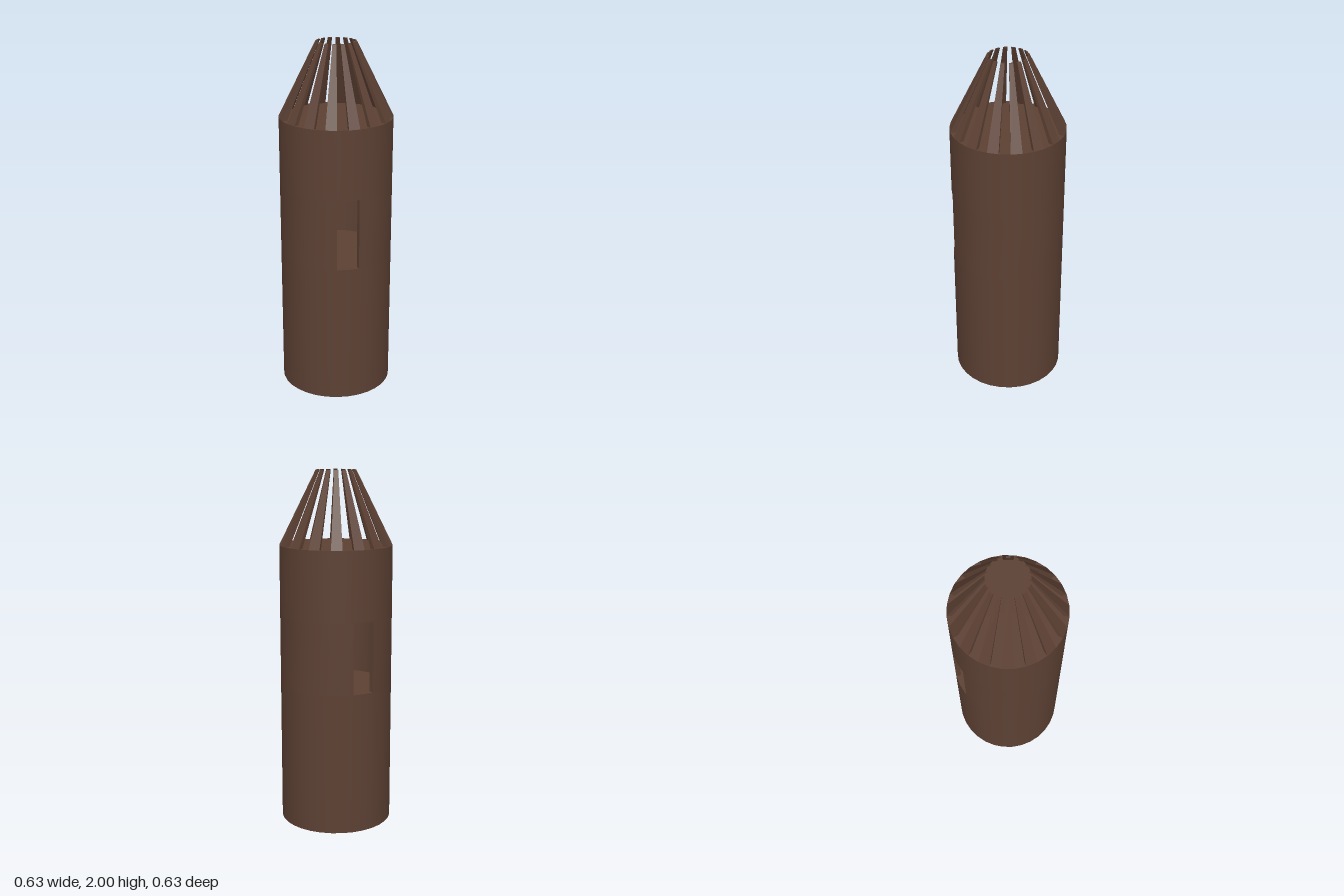
import * as THREE from 'three';
import { toCreasedNormals } from 'three/addons/utils/BufferGeometryUtils.js';

const SEGS = 32, STEP = (Math.PI * 2) / SEGS;
const R = 0.316, TOP_R = 0.112, WALL = 0.91; // inner radius = outer radius * WALL
const Y = { floor: 0.8, ceiling: 1.2, shoulder: 1.59, tip: 2 };

// Closed arc of wall: a four-cornered section swept over a run of segments
function arcWall(rBottom, rTop, y0, y1, start, count) {
  const section = [[rBottom, y0], [rTop, y1], [rTop * WALL, y1], [rBottom * WALL, y0]];
  const pos = [];
  const point = (s, i) => {
    const a = s * STEP, [r, y] = section[i % 4];
    return [r * Math.sin(a), y, r * Math.cos(a)];
  };
  const quad = (a, b, c, d) => pos.push(...a, ...b, ...c, ...a, ...c, ...d);
  for (let s = start; s < start + count; s++) {
    for (let i = 0; i < 4; i++) quad(point(s, i), point(s + 1, i), point(s + 1, i + 1), point(s, i + 1));
  }
  // End faces
  const e = start + count;
  quad(point(start, 0), point(start, 1), point(start, 2), point(start, 3));
  quad(point(e, 3), point(e, 2), point(e, 1), point(e, 0));
  const g = new THREE.BufferGeometry();
  g.setAttribute('position', new THREE.Float32BufferAttribute(pos, 3));
  return toCreasedNormals(g, 0.4);
}

export function createModel() {
  const model = new THREE.Group();
  model.name = 'slottedCapsule';
  const brown = new THREE.MeshStandardMaterial({ color: 0x5c4033 });
  brown.name = 'brown';

  const add = (name, geometry, y = 0, parent = model) => {
    const mesh = new THREE.Mesh(geometry, brown);
    mesh.name = name;
    mesh.position.y = y;
    parent.add(mesh);
  };
  const drum = (name, y0, y1) =>
    add(name, new THREE.CylinderGeometry(R, R, y1 - y0, SEGS), (y0 + y1) / 2);

  // Solid body below and above the hollow chamber
  drum('lowerBody', 0, Y.floor);
  drum('upperBody', Y.ceiling, Y.shoulder);

  // Chamber walls, leaving a front window and an offset back window
  add('chamberWallLeft', arcWall(R, R, Y.floor, Y.ceiling, 1, 15));
  add('chamberWallRight', arcWall(R, R, Y.floor, Y.ceiling, 18, 13));

  // Open cone of slats, one on every second segment
  const cone = new THREE.Group();
  cone.name = 'slattedCone';
  for (let s = 0; s < SEGS; s += 2) {
    add('slat', arcWall(R, TOP_R, Y.shoulder, Y.tip, s, 1), 0, cone);
  }
  model.add(cone);
  return model;
}
